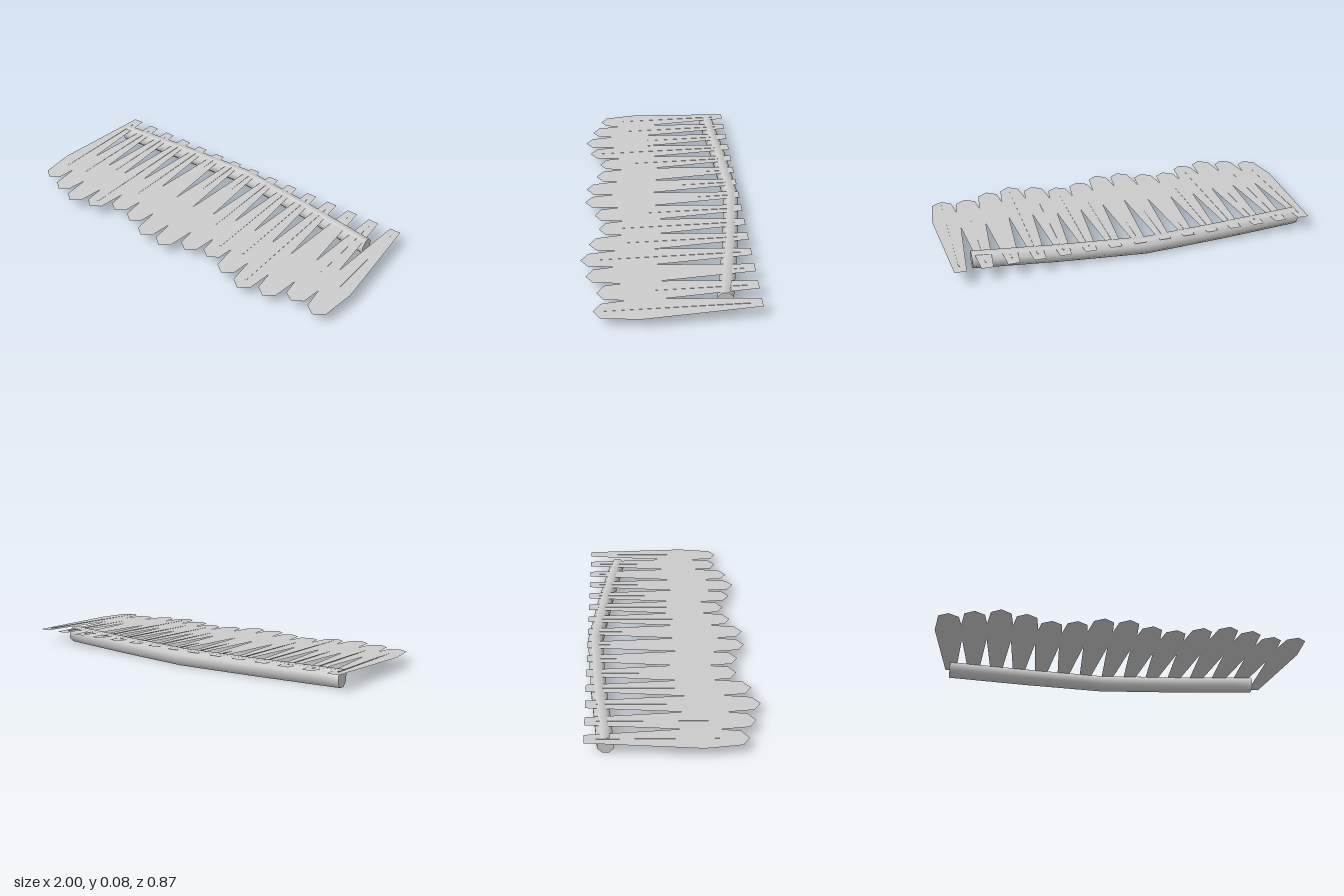
import * as THREE from 'three';
import { toCreasedNormals } from 'three/addons/utils/BufferGeometryUtils.js';

const BACK = -0.435;
const SPACING = 0.132;
// front end of each blade, and how far its raised rib shows
const TIPS = [0.34, 0.39, 0.43, 0.40, 0.34, 0.36, 0.415, 0.42, 0.365, 0.34, 0.39, 0.43, 0.40, 0.345, 0.36];
const RIB_ENDS = [0.2, 0.18, 0.05, 0.34, 0.15, -0.28, -0.1, -0.2, 0.1, 0.23, 0.21, 0.36, -0.32, 0.08, 0.33];

// height of the sloping blade plane
const planeY = (z) => 0.0695 - 0.0325 * z;

// flat leaf outline: narrow stem, wide belly, blunt point
function bladeGeometry(tip) {
  const len = tip - BACK;
  const half = [[0.03, 0], [0.075, 0.72], [0.052, 0.955]];
  const shape = new THREE.Shape([
    ...half.map(([x, t]) => new THREE.Vector2(x, -(BACK + t * len))),
    new THREE.Vector2(0, -tip),
    ...half.slice().reverse().map(([x, t]) => new THREE.Vector2(-x, -(BACK + t * len))),
  ]);
  const geo = new THREE.ShapeGeometry(shape).rotateX(-Math.PI / 2);
  const p = geo.attributes.position;
  for (let i = 0; i < p.count; i++) p.setY(i, planeY(p.getZ(i)));
  geo.computeVertexNormals();
  return geo;
}

// thin rib that sinks into the blade towards its front end
function ribGeometry(end) {
  const start = -0.38;
  const geo = new THREE.BoxGeometry(0.007, 0.004, end - start);
  geo.translate(0, 0, (start + end) / 2);
  const p = geo.attributes.position;
  for (let i = 0; i < p.count; i++) {
    const z = p.getZ(i);
    const lift = z > (start + end) / 2 ? 0.001 : 0.003;
    p.setY(i, planeY(z) + (p.getY(i) > 0 ? lift : 0.0002));
  }
  geo.computeVertexNormals();
  return geo;
}

// eight-sided rod bent along a shallow arc
function rodGeometry() {
  const x0 = -0.925, x1 = 0.85;
  const path = [[x0, -0.335], [-0.48, -0.372], [-0.04, -0.396], [0.4, -0.342], [x1, -0.27]];
  const centreZ = (x) => {
    let k = 0;
    while (k < path.length - 2 && x > path[k + 1][0]) k++;
    const [[ax, az], [bx, bz]] = [path[k], path[k + 1]];
    return az + (bz - az) * (x - ax) / (bx - ax);
  };
  const geo = new THREE.CylinderGeometry(0.046, 0.046, x1 - x0, 8, 16, false, Math.PI / 8);
  geo.rotateZ(Math.PI / 2).translate((x0 + x1) / 2, 0.0425, 0);
  const p = geo.attributes.position;
  for (let i = 0; i < p.count; i++) p.setZ(i, p.getZ(i) * 0.94 + centreZ(p.getX(i)));
  return toCreasedNormals(geo, Math.PI / 3);
}

export function createModel() {
  const model = new THREE.Group();
  model.name = 'bladedRod';
  const solid = new THREE.MeshStandardMaterial({ color: 0xcccccc });
  const thin = new THREE.MeshStandardMaterial({ color: 0xcccccc, side: THREE.DoubleSide });

  const add = (parent, name, geo, mat) => {
    const mesh = new THREE.Mesh(geo, mat);
    mesh.name = name;
    parent.add(mesh);
  };

  add(model, 'rod', rodGeometry(), solid);

  // row of blades, each with its rib
  TIPS.forEach((tip, i) => {
    const leaf = new THREE.Group();
    leaf.name = `leaf${i + 1}`;
    leaf.position.x = (i - (TIPS.length - 1) / 2) * SPACING;
    add(leaf, 'blade', bladeGeometry(tip), thin);
    add(leaf, 'rib', ribGeometry(RIB_ENDS[i]), solid);
    model.add(leaf);
  });
  return model;
}
